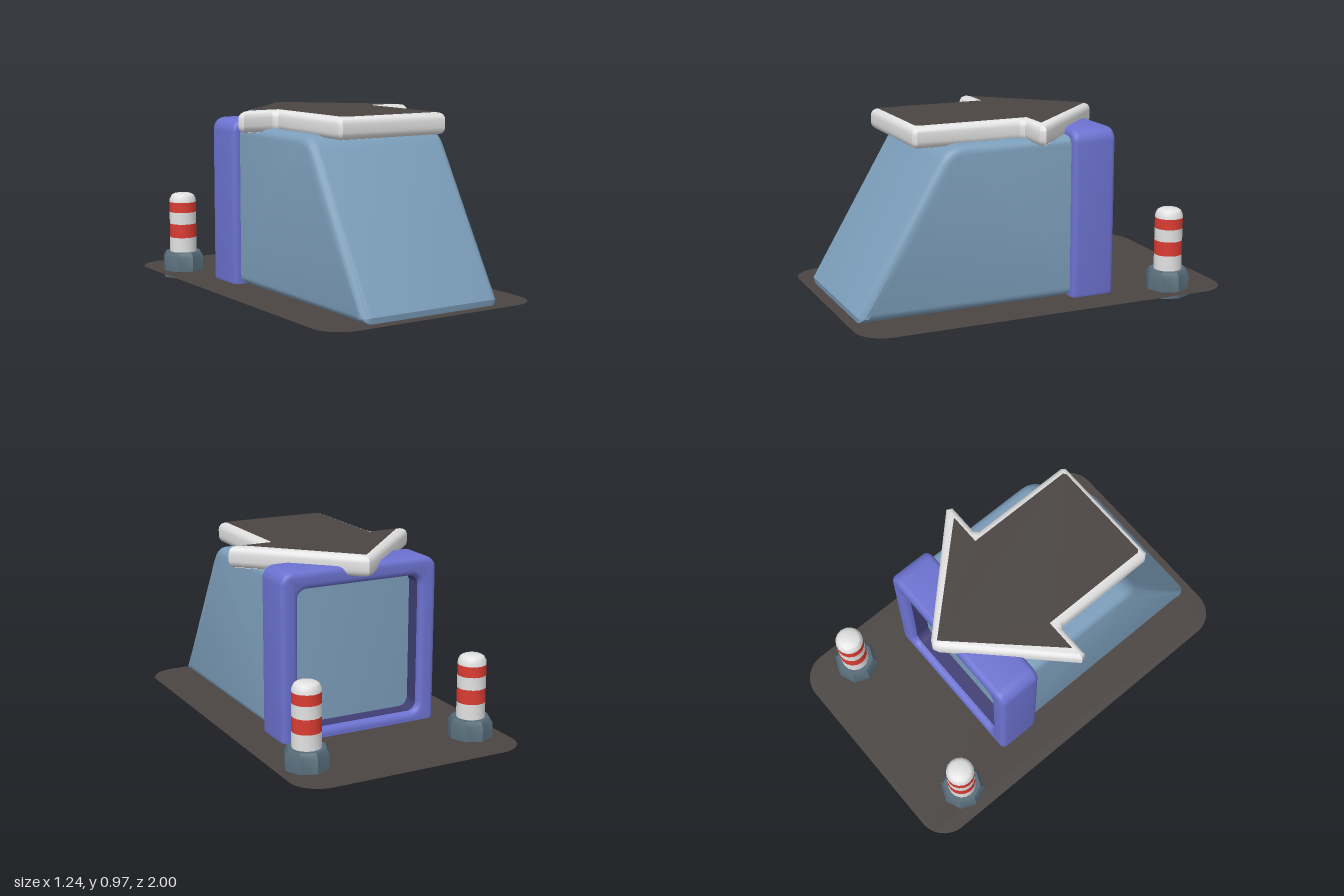
import * as THREE from 'three';
import { toCreasedNormals } from 'three/addons/utils/BufferGeometryUtils.js';

function material(name, color) {
  const m = new THREE.MeshStandardMaterial({ color, side: THREE.DoubleSide });
  m.name = name;
  return m;
}

function roundedRect(x0, y0, x1, y1, r, Type = THREE.Shape) {
  const s = new Type();
  s.absarc(x1 - r, y0 + r, r, -Math.PI / 2, 0);
  s.absarc(x1 - r, y1 - r, r, 0, Math.PI / 2);
  s.absarc(x0 + r, y1 - r, r, Math.PI / 2, Math.PI);
  s.absarc(x0 + r, y0 + r, r, Math.PI, Math.PI * 1.5);
  s.closePath();
  return s;
}

// Extrude whose outline and total depth include the rounded edge
function roundedExtrude(shape, depth, bevel) {
  const g = new THREE.ExtrudeGeometry(shape, {
    depth: depth - 2 * bevel, curveSegments: 4, bevelEnabled: true,
    bevelSize: bevel, bevelThickness: bevel, bevelOffset: -bevel, bevelSegments: 4,
  });
  g.translate(0, 0, bevel);
  return toCreasedNormals(g, 0.6);
}

// Drop the flat downward faces so that the underside is open
function openBottom(g, limit) {
  const p = g.attributes.position, n = g.attributes.normal;
  const pos = [], nor = [];
  const a = new THREE.Vector3(), b = new THREE.Vector3(), c = new THREE.Vector3(), f = new THREE.Vector3();
  for (let i = 0; i < p.count; i += 3) {
    a.fromBufferAttribute(p, i);
    b.fromBufferAttribute(p, i + 1);
    c.fromBufferAttribute(p, i + 2);
    f.copy(b).sub(a).cross(c.clone().sub(a)).normalize();
    if (f.y < -0.95 && Math.max(a.y, b.y, c.y) < limit) continue;
    for (let k = i; k < i + 3; k++) {
      pos.push(p.getX(k), p.getY(k), p.getZ(k));
      nor.push(n.getX(k), n.getY(k), n.getZ(k));
    }
  }
  const out = new THREE.BufferGeometry();
  out.setAttribute('position', new THREE.Float32BufferAttribute(pos, 3));
  out.setAttribute('normal', new THREE.Float32BufferAttribute(nor, 3));
  return out;
}

// Arrow outline: half the points, mirrored
function arrowShape(half) {
  const mirrored = half.filter(([x]) => x > 0).reverse().map(([x, y]) => [-x, y]);
  return new THREE.Shape([...half, ...mirrored].map(([x, y]) => new THREE.Vector2(x, y)));
}

export function createModel() {
  const model = new THREE.Group();
  const asphalt = material('dark asphalt', 0x4a4543);
  const blue = material('steel blue', 0x7d9fbc);
  const purple = material('violet frame', 0x6c72d0);
  purple.side = THREE.FrontSide;
  const deep = material('deep violet', 0x403e74);
  const white = material('off white', 0xe2e2e2);
  const red = material('red stripe', 0xdb3c32);
  const slate = material('slate', 0x566b78);

  function add(name, geometry, mat, parent = model) {
    const mesh = new THREE.Mesh(geometry, mat);
    mesh.name = name;
    parent.add(mesh);
    return mesh;
  }

  // Thin ground plate
  const plate = new THREE.ShapeGeometry(roundedRect(-0.62, -1, 0.62, 1, 0.15), 8);
  plate.rotateX(-Math.PI / 2).translate(0, 0.053, 0);
  add('groundPlate', plate, asphalt);

  // Wedge body: side profile in (z, y), extruded across the width
  const profile = new THREE.Shape();
  profile.moveTo(-0.3, 0.055);
  profile.lineTo(0.945, 0.055);
  profile.lineTo(0.95, 0.085);
  profile.lineTo(0.52, 0.81);
  profile.quadraticCurveTo(0.475, 0.88, 0.41, 0.883);
  profile.lineTo(-0.3, 0.883);
  profile.closePath();
  const body = roundedExtrude(profile, 0.8, 0.045);
  body.translate(0, 0, -0.4).rotateY(-Math.PI / 2);
  add('wedgeBody', body, blue);

  // Rear frame with a recessed panel
  const frameShape = roundedRect(-0.437, 0.005, 0.437, 0.917, 0.065);
  frameShape.holes.push(roundedRect(-0.345, 0.1, 0.345, 0.825, 0.05, THREE.Path));
  const frame = roundedExtrude(frameShape, 0.235, 0.028);
  frame.translate(0, 0, -0.412);
  add('rearFrame', openBottom(frame, 0.02), purple);

  const liningShape = roundedRect(-0.36, 0.085, 0.36, 0.84, 0.05);
  liningShape.holes.push(roundedRect(-0.342, 0.103, 0.342, 0.822, 0.05, THREE.Path));
  const lining = new THREE.ExtrudeGeometry(liningShape, { depth: 0.15, bevelEnabled: false, curveSegments: 4 });
  add('recessLining', lining.translate(0, 0, -0.375), deep);
  const panel = new THREE.BoxGeometry(0.72, 0.755, 0.02);
  add('recessPanel', panel.translate(0, 0.4625, -0.235), deep);

  // Arrow sign lying flat, pointing to the back
  const sign = new THREE.Group();
  sign.name = 'arrowSign';
  model.add(sign);
  const border = arrowShape([
    [0, 0.49], [0.03, 0.475], [0.52, -0.02], [0.505, -0.05], [0.34, -0.05], [0.32, -0.07],
    [0.32, -0.61], [0.305, -0.63],
  ].reverse());
  const rim = roundedExtrude(border, 0.108, 0.035);
  rim.rotateX(-Math.PI / 2).translate(0, 0.866, 0);
  add('arrowBorder', rim, white, sign);
  const face = new THREE.ShapeGeometry(arrowShape([
    [0.27, -0.602], [0.283, -0.59], [0.283, -0.015], [0.45, -0.015], [0, 0.46],
  ]));
  face.rotateX(-Math.PI / 2).translate(0, 0.977, 0);
  add('arrowFace', face, asphalt, sign);

  // Striped bollards at the two back corners
  const lathe = (points, sides) => toCreasedNormals(
    new THREE.LatheGeometry(points.map(([r, y]) => new THREE.Vector2(r, y)), sides), 0.6);
  for (const side of [-1, 1]) {
    const bollard = new THREE.Group();
    bollard.name = side > 0 ? 'leftBollard' : 'rightBollard';
    bollard.position.set(side * 0.46, 0, -0.718);
    model.add(bollard);
    add('bollardBase', lathe([[0.113, 0.018], [0.113, 0.13], [0.098, 0.155], [0.07, 0.155]], 8), slate, bollard);
    const bands = [0.14, 0.235, 0.31, 0.375, 0.43];
    for (let i = 0; i < 4; i++) {
      add(i % 2 ? 'redBand' : 'whiteBand',
        lathe([[0.073, bands[i]], [0.073, bands[i + 1]]], 16), i % 2 ? red : white, bollard);
    }
    add('bollardCap', lathe([[0.073, 0.43], [0.071, 0.448], [0.06, 0.468], [0.045, 0.476], [0, 0.477]], 16), white, bollard);
  }
  return model;
}
